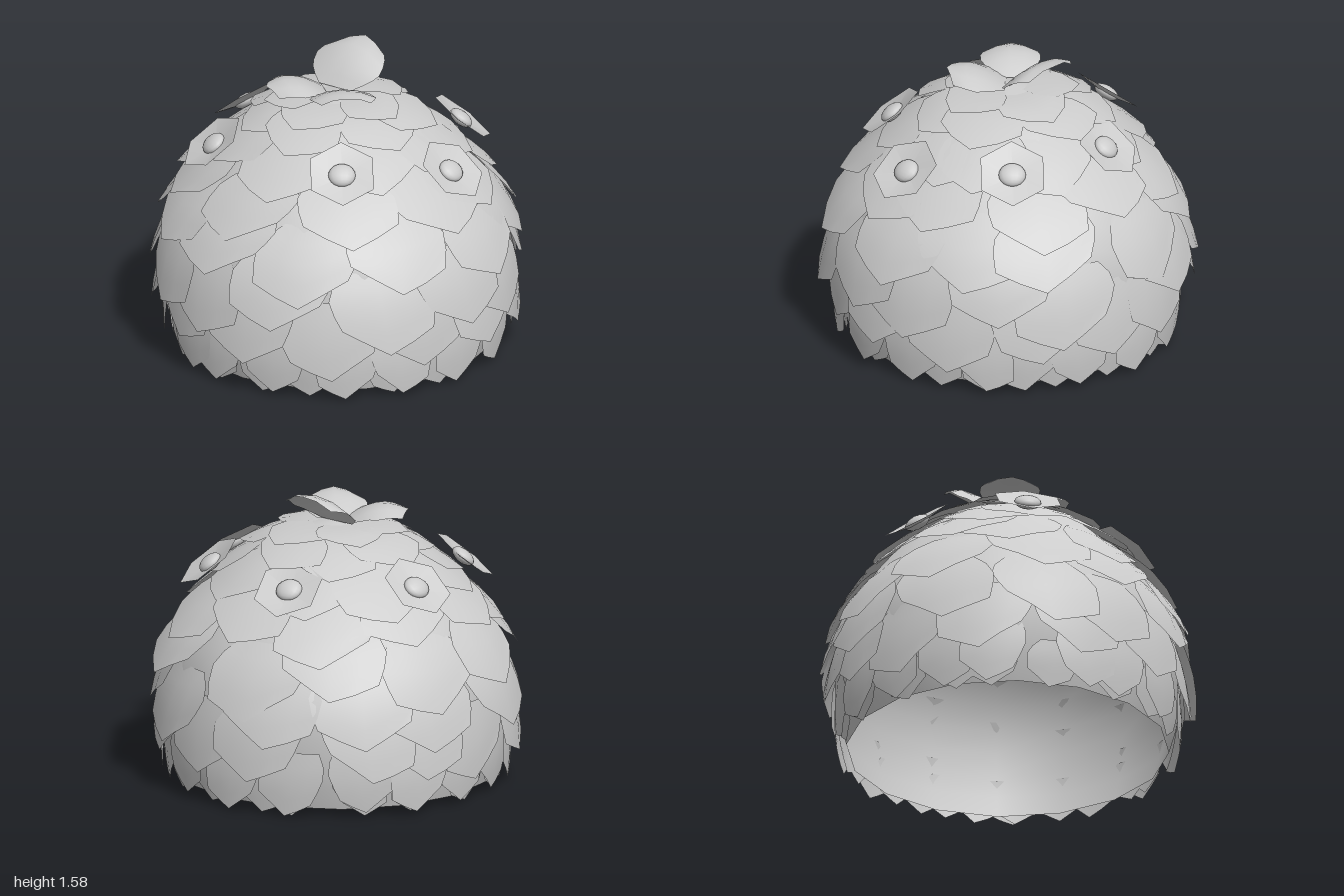
import * as THREE from 'three';

const material = new THREE.MeshStandardMaterial({ color: 0xcccccc, side: THREE.DoubleSide });

// Dome profile: radius and height, from the open rim to the crown
const profile = new THREE.SplineCurve([
  [0.85, 0.04], [0.893, 0.2], [0.912, 0.4], [0.9, 0.6], [0.835, 0.8],
  [0.7, 1.0], [0.5, 1.205], [0.29, 1.335], [0, 1.395],
].map(([r, y]) => new THREE.Vector2(r, y)));
const profileLength = profile.getLength();

// Small repeatable noise between -1 and 1
let seed = 7;
function jitter() {
  seed = (seed * 16807) % 2147483647;
  return (seed / 2147483647) * 2 - 1;
}

function addMesh(parent, name, geometry) {
  const mesh = new THREE.Mesh(geometry, material);
  mesh.name = name;
  parent.add(mesh);
  return mesh;
}

// Grid of points from a rule, u in -1..1 across and t in 0..1 along
function patch(cols, rows, rule) {
  const geometry = new THREE.PlaneGeometry(2, 1, cols, rows);
  const pos = geometry.attributes.position;
  for (let i = 0; i < pos.count; i++) {
    const p = rule(pos.getX(i), 0.5 - pos.getY(i));
    pos.setXYZ(i, p.x, p.y, p.z);
  }
  geometry.computeVertexNormals();
  return geometry;
}

// Point at arc length s above the rim, at an angle round the dome, lifted off it
function onDome(s, angle, lift) {
  const k = THREE.MathUtils.clamp(s / profileLength, 0, 1);
  const p = profile.getPointAt(k);
  const d = profile.getTangentAt(k);
  const below = Math.min(s, 0);
  const r = p.x + d.x * below + d.y * lift;
  const y = p.y + d.y * below - d.x * lift;
  return new THREE.Vector3(Math.sin(angle) * r, y, Math.cos(angle) * r);
}

// Leaf rooted in the dome, its pointed end hanging down and standing proud
function domeLeaf(tip, angle, length, halfWidth, lift) {
  const top = Math.min(tip + length, profileLength - 0.04);
  const middle = profile.getPointAt(THREE.MathUtils.clamp((tip + top) / 2 / profileLength, 0, 1));
  const radius = Math.max(middle.x, 0.25);
  const skew = jitter() * 0.08;
  const shear = jitter() * 0.15;
  return patch(4, 4, (u, t) => {
    const along = t * (1 - 0.28 * Math.abs(u) + shear * u * (1 - Math.abs(u) * 0.3));
    const width = halfWidth * (0.6 + 0.4 * Math.sin(Math.min(t * 1.7, 1) * Math.PI / 2) - 0.22 * t * t);
    return onDome(top + (tip - top) * along, angle + (u * width + skew * t) / radius,
      -0.008 + (lift + 0.008) * along);
  });
}

// Free crown leaf with a blunt end, arching along a path, its edges sagging
function crownLeaf(points, halfWidth, sag) {
  const path = new THREE.CatmullRomCurve3(points.map(p => new THREE.Vector3(...p)));
  const first = path.getPoint(0), last = path.getPoint(1);
  const side = new THREE.Vector3(last.z - first.z, 0, first.x - last.x).normalize();
  return patch(4, 6, (u, t) => {
    const along = t * (1 - 0.15 * Math.abs(u));
    const width = halfWidth * (0.3 + 0.7 * Math.sin(Math.PI * (0.08 + t * 0.7)));
    const p = path.getPoint(along).addScaledVector(side, u * width);
    p.y -= sag * u * u * Math.min(t * 2, 1);
    return p;
  });
}

export function createModel() {
  const model = new THREE.Group();

  // Open inner dome
  addMesh(model, 'innerDome', new THREE.LatheGeometry(profile.getSpacedPoints(14), 16));

  // Overlapping rows of leaves: tip height, count, length, half width, lift, unevenness
  const rows = [
    [-0.028, 18, 0.26, 0.15, 0.025, 0.006], [-0.01, 17, 0.34, 0.18, 0.055, 0.012],
    [0.15, 13, 0.4, 0.27, 0.075, 0.05], [0.32, 12, 0.42, 0.3, 0.085, 0.07],
    [0.55, 11, 0.42, 0.3, 0.085, 0.07], [0.8, 10, 0.42, 0.29, 0.065, 0.06],
    [1.04, 9, 0.4, 0.27, 0.05, 0.05], [1.27, 7, 0.36, 0.25, 0.04, 0.04],
    [1.46, 5, 0.34, 0.22, 0.04, 0.04],
  ];
  const foliage = new THREE.Group();
  foliage.name = 'foliage';
  model.add(foliage);
  rows.forEach(([tip, count, length, halfWidth, lift, uneven], row) => {
    for (let i = 0; i < count; i++) {
      const angle = ((i + (row % 2) / 2 + jitter() * 0.22) / count) * Math.PI * 2;
      addMesh(foliage, 'leaf', domeLeaf(tip + jitter() * uneven, angle, length, halfWidth, lift * (1 + 0.25 * jitter())));
    }
  });

  // Three upright leaves on the crown
  const crown = new THREE.Group();
  crown.name = 'crownLeaves';
  model.add(crown);
  addMesh(crown, 'crownLeaf', crownLeaf([[0.03, 1.39, -0.04], [0.11, 1.495, -0.04], [0.21, 1.57, -0.05], [0.32, 1.585, -0.05]], 0.21, 0.06));
  addMesh(crown, 'crownLeaf', crownLeaf([[-0.03, 1.39, -0.06], [-0.12, 1.455, -0.13], [-0.2, 1.47, -0.2], [-0.27, 1.44, -0.27]], 0.16, 0.04));
  addMesh(crown, 'crownLeaf', crownLeaf([[0, 1.39, 0.02], [-0.09, 1.45, 0.09], [-0.16, 1.48, 0.16], [-0.23, 1.475, 0.23]], 0.175, 0.05));

  // Six-sided, slightly dished blossoms with a domed heart
  const blossoms = [
    [0, 1.115, 0.735], [0.5, 1.17, 0.44], [0.56, 1.15, -0.18],
    [0.07, 1.15, -0.64], [-0.52, 1.16, -0.43], [-0.49, 1.17, 0.38],
  ];
  for (const [x, y, z] of blossoms) {
    const blossom = new THREE.Group();
    blossom.name = 'blossom';
    blossom.position.set(x, y, z);
    blossom.rotation.set(-0.9, Math.atan2(x, z), 0, 'YXZ');
    addMesh(blossom, 'petals', new THREE.ConeGeometry(0.19, 0.03, 6, 1, true).rotateX(-Math.PI / 2));
    addMesh(blossom, 'heart', new THREE.SphereGeometry(0.072, 16, 10).scale(1, 0.92, 0.5));
    model.add(blossom);
  }
  return model;
}
